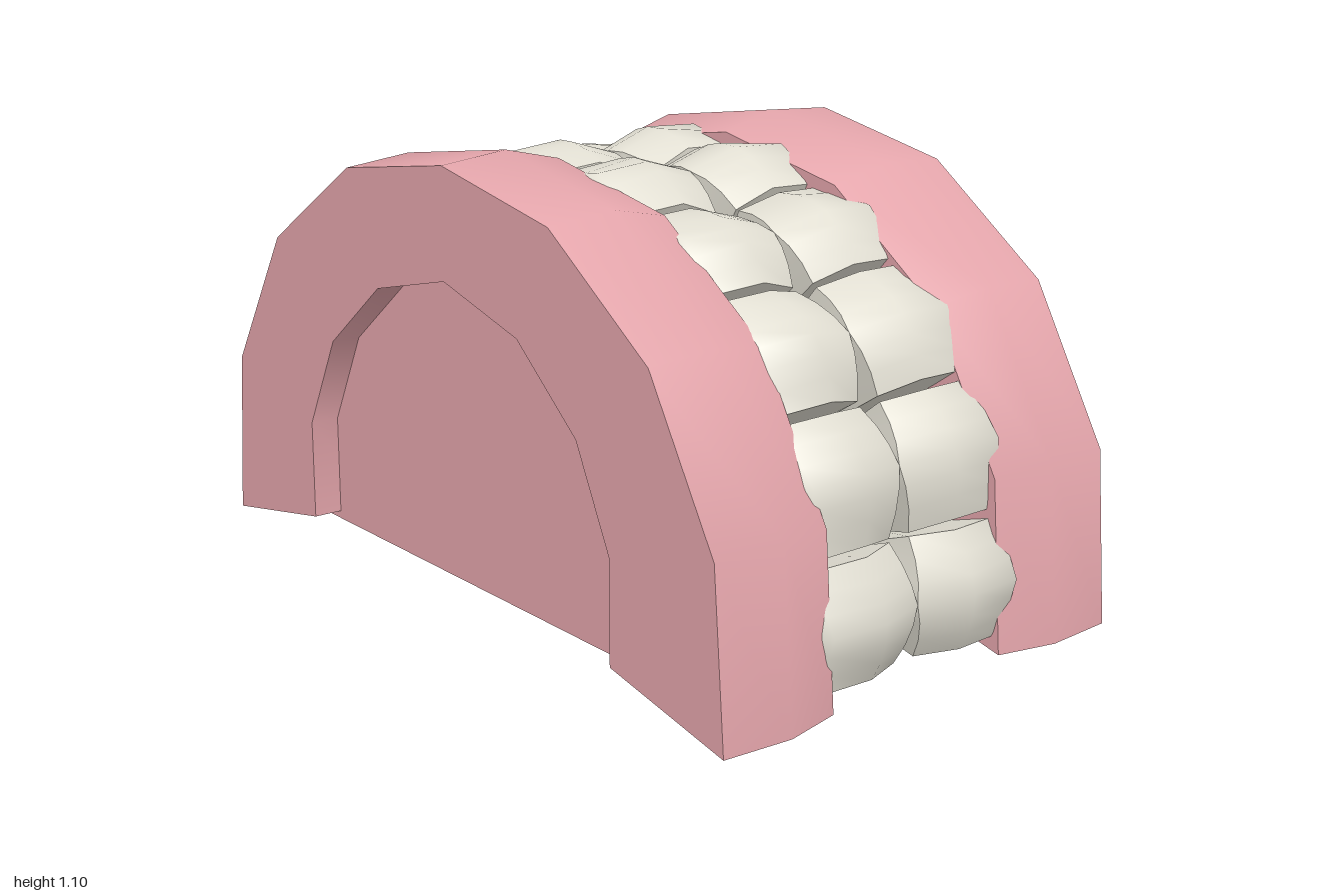
import * as THREE from 'three';

// Half-arch points run from the crown (x = 0) down to the foot; the other half is mirrored.
const GUM_OUTER = [[0, 1.1], [0.405, 1.03], [0.75, 0.795], [0.965, 0.43], [1, 0.003]];
const GUM_INNER = [[0, 0.818], [0.28, 0.745], [0.492, 0.568], [0.608, 0.33], [0.608, 0.08]];
const TOOTH_OUTER = [[0, 1.035], [0.31, 0.985], [0.588, 0.853], [0.81, 0.63], [0.92, 0.33], [0.947, 0.03]];
const TOOTH_INNER = [[0, 0.81], [0.21, 0.77], [0.4, 0.65], [0.57, 0.46], [0.65, 0.25], [0.655, 0.07]];

// Point on an arch at u, which is negative on the -x half
function archPoint(pts, u) {
  const a = Math.min(Math.abs(u), pts.length - 1);
  const i = Math.min(Math.floor(a), pts.length - 2);
  const f = a - i;
  const x = THREE.MathUtils.lerp(pts[i][0], pts[i + 1][0], f);
  const y = THREE.MathUtils.lerp(pts[i][1], pts[i + 1][1], f);
  return new THREE.Vector2(u < 0 ? -x : x, y);
}

// Box bent by a rule: s runs along the arch, t outward, w along z (all -1..1)
function bentBox(segments, rule) {
  const geo = new THREE.BoxGeometry(2, 2, 2, ...segments);
  const pos = geo.attributes.position;
  for (let i = 0; i < pos.count; i++) {
    pos.setXYZ(i, ...rule(pos.getX(i), pos.getY(i), pos.getZ(i)));
  }
  geo.computeVertexNormals();
  return geo;
}

// Gum arch with a low ridge round its outside and a slightly flared mouth
function gumGeometry(side) {
  const depths = [0.255, 0.405, 0.583];
  const outerScales = [0.965, 1, 0.987];
  const innerScales = [0.99, 0.99, 1];
  return bentBox([8, 1, 2], (s, t, w) => {
    const k = Math.round(side * w + 1);
    const p = archPoint(t > 0 ? GUM_OUTER : GUM_INNER, Math.round(s * 4));
    p.multiplyScalar(t > 0 ? outerScales[k] : innerScales[k]);
    return [p.x, p.y, side * depths[k]];
  });
}

// Bulging tooth with a pointed biting edge; its peaked root breaks through the gum edge
function toothGeometry(index, side) {
  const depths = [0, 0.135, 0.28, 0.34];
  const outerMid = [0.012, 0.055, 0.045, -0.03];
  const outerEdge = [-0.04, 0, -0.008, -0.06];
  const innerOffset = [0.05, 0.005, 0.04, 0.05];
  return bentBox([6, 1, 3], (s, t, w) => {
    const k = Math.round((side * w + 1) * 1.5);
    const u = index + 0.5 + s * 0.462;
    const out = archPoint(TOOTH_OUTER, index + 0.5)
      .sub(archPoint(TOOTH_INNER, index + 0.5)).normalize();
    const across = k === 2 ? Math.abs(s) : s * s;
    const offset = t > 0
      ? THREE.MathUtils.lerp(outerMid[k], outerEdge[k], across)
      : innerOffset[k] - 0.025 * (1 - s * s);
    const p = archPoint(t > 0 ? TOOTH_OUTER : TOOTH_INNER, u).addScaledVector(out, offset);
    const depth = k === 0 ? 0.03 * Math.abs(s) : depths[k];
    return [p.x, p.y, side * depth - 0.01];
  });
}

export function createModel() {
  const gumPink = new THREE.MeshStandardMaterial({ color: 0xe4a5ab });
  gumPink.name = 'gumPink';
  const toothIvory = new THREE.MeshStandardMaterial({ color: 0xe2dfd3 });
  toothIvory.name = 'toothIvory';

  const model = new THREE.Group();
  model.name = 'dentures';
  const add = (parent, name, geo, mat) => {
    const mesh = new THREE.Mesh(geo, mat);
    mesh.name = name;
    parent.add(mesh);
    return mesh;
  };

  // Front and back jaws, each a gum arch with ten teeth
  for (const side of [1, -1]) {
    const jaw = new THREE.Group();
    jaw.name = side > 0 ? 'frontJaw' : 'backJaw';
    model.add(jaw);
    add(jaw, 'gum', gumGeometry(side), gumPink);
    for (let i = -5; i < 5; i++) {
      add(jaw, 'tooth', toothGeometry(i, side), toothIvory);
    }
  }

  // Palate plate closing the front arch, its rim set into the gum
  const outline = [];
  for (let u = -4; u <= 4; u++) outline.push(archPoint(GUM_INNER, u).multiplyScalar(1.15));
  outline[0].y = outline[8].y = 0.06;
  const palate = add(model, 'palate', new THREE.ExtrudeGeometry(new THREE.Shape(outline), {
    depth: 0.08, bevelEnabled: false,
  }), gumPink);
  palate.position.z = 0.43;

  return model;
}
